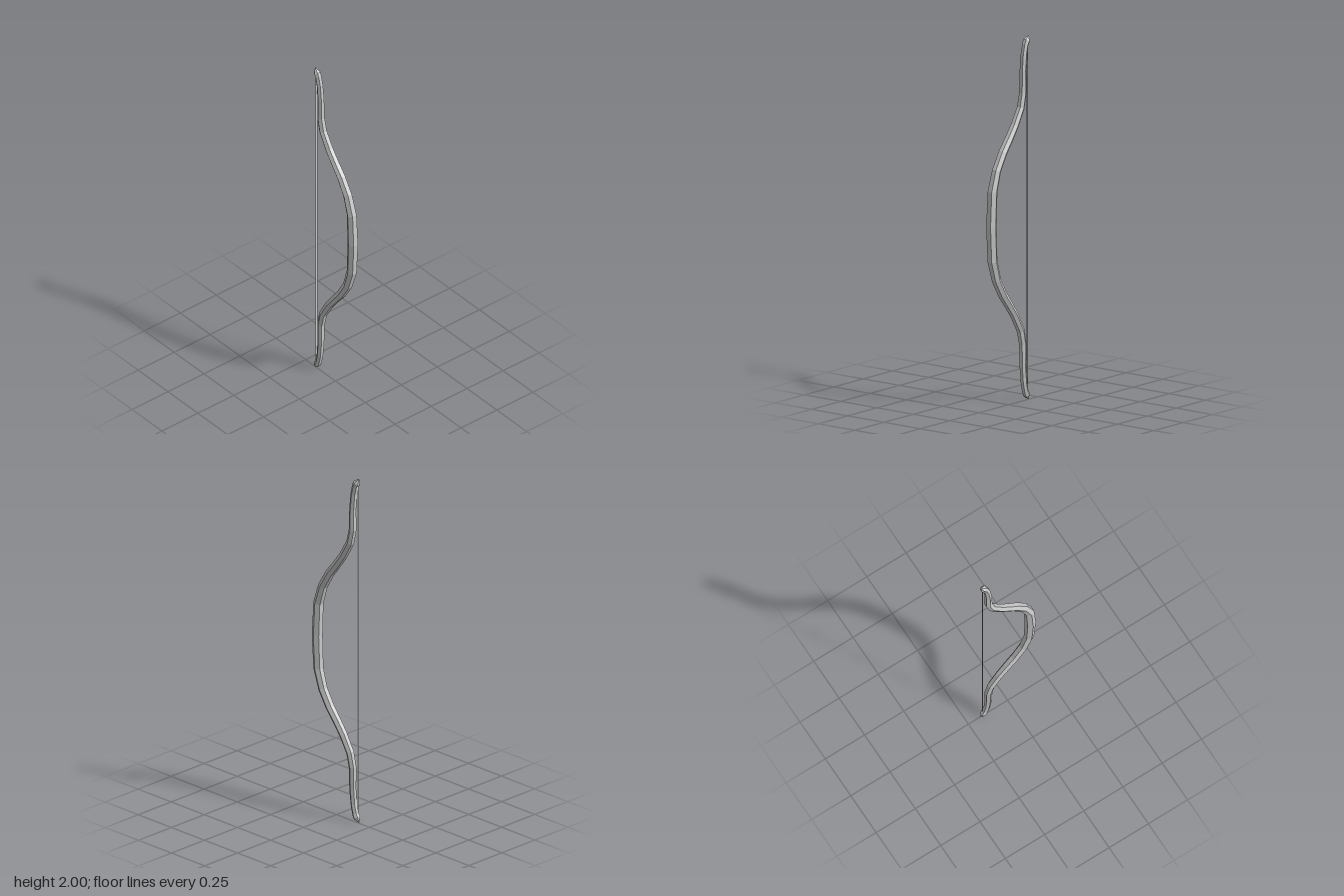
import * as THREE from 'three';

const SIDES = 6;

// Upper half of the stave: [height above the grip, z, radius]
const HALF = [
  [0, 0.145, 0.03], [0.19, 0.136, 0.028], [0.30, 0.102, 0.026], [0.39, 0.048, 0.025],
  [0.45, 0.0, 0.024], [0.52, -0.052, 0.023], [0.61, -0.104, 0.022], [0.69, -0.122, 0.021],
  [0.81, -0.123, 0.019], [0.90, -0.131, 0.018], [0.95, -0.143, 0.018], [0.972, -0.154, 0.02],
];
const TIP = [1, -0.171, 0]; // pointed nock

// Six-sided stave swept along the mirrored profile
function staveGeometry() {
  const upper = [...HALF, TIP];
  const path = [...upper.slice(1).reverse().map(([h, z, r]) => [-h, z, r]), ...upper];
  const pos = [], index = [];
  path.forEach(([h, z, r], i) => {
    const a = path[Math.max(i - 1, 0)], b = path[Math.min(i + 1, path.length - 1)];
    const len = Math.hypot(b[0] - a[0], b[1] - a[1]);
    const ty = (b[0] - a[0]) / len, tz = (b[1] - a[1]) / len;
    for (let j = 0; j < SIDES; j++) {
      const t = (j / SIDES) * Math.PI * 2;
      const n = r * Math.sin(t);
      pos.push(r * Math.cos(t), 1 + h - tz * n, z + ty * n);
    }
    if (i === path.length - 1) return;
    for (let j = 0; j < SIDES; j++) {
      const k = (j + 1) % SIDES, p = i * SIDES, q = p + SIDES;
      if (path[i + 1][2] > 0) index.push(p + j, q + j, q + k);
      if (r > 0) index.push(p + j, q + k, p + k);
    }
  });
  const g = new THREE.BufferGeometry();
  g.setAttribute('position', new THREE.Float32BufferAttribute(pos, 3));
  g.setIndex(index);
  const flat = g.toNonIndexed();
  flat.computeVertexNormals();
  return flat;
}

export function createModel() {
  const group = new THREE.Group();
  group.name = 'bow';

  const stave = new THREE.Mesh(
    staveGeometry(),
    new THREE.MeshStandardMaterial({ color: 0xcccccc, flatShading: true }));
  stave.name = 'stave';
  group.add(stave);

  // Thin flat string between the nocks
  const string = new THREE.Mesh(
    new THREE.PlaneGeometry(0.012, 1.96),
    new THREE.MeshStandardMaterial({ color: 0xcccccc, side: THREE.DoubleSide }));
  string.name = 'string';
  string.position.set(0, 1, -0.16);
  group.add(string);

  return group;
}
